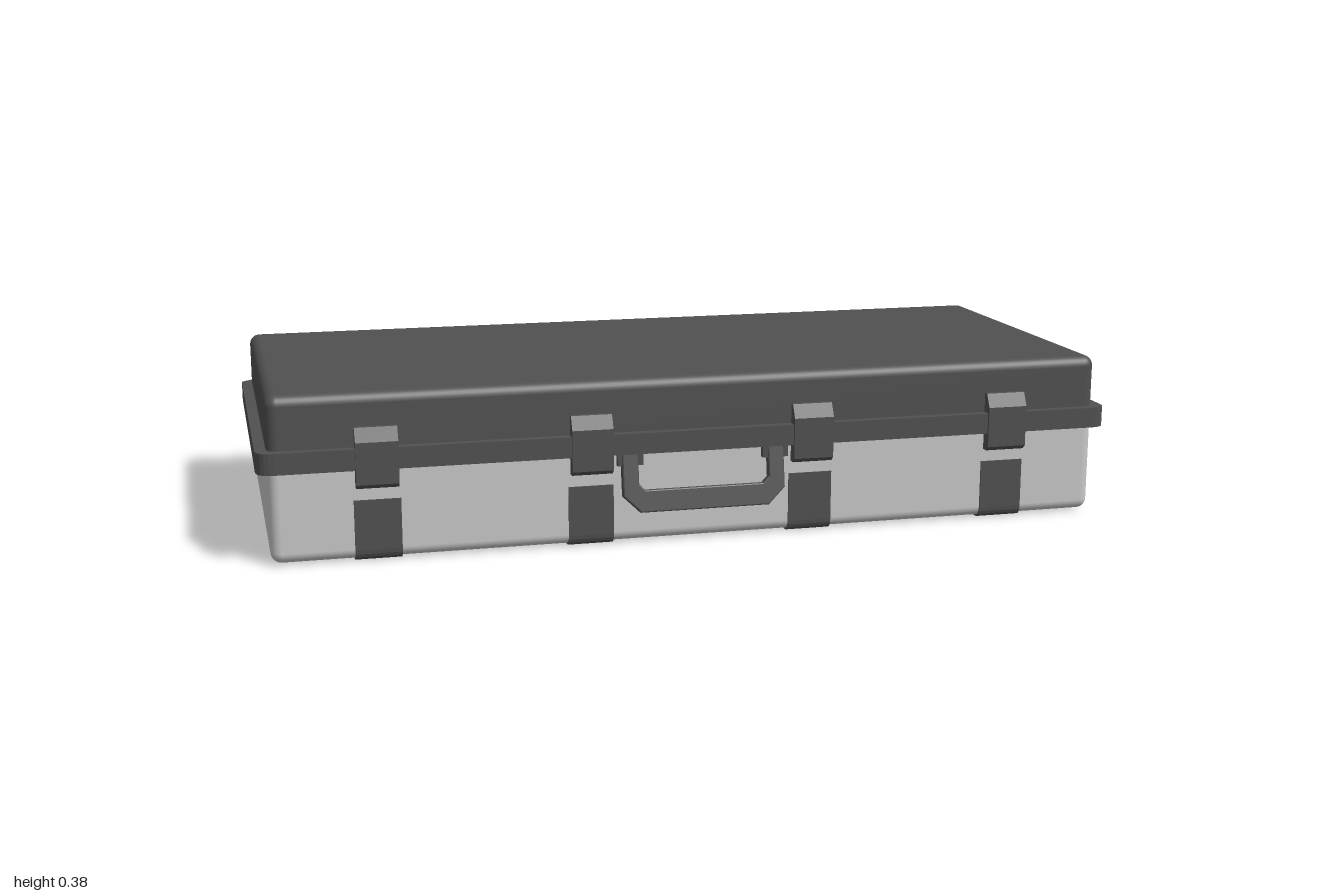
import * as THREE from 'three';
import { RoundedBoxGeometry } from 'three/addons/geometries/RoundedBoxGeometry.js';

const WIDTH = 1.95, BACK = -0.425, FRONT = 0.39, SEAM = 0.212, R = 0.024;
const STATIONS = [-0.74, -0.26, 0.26, 0.74]; // shared by straps, latches and hinges

function polygon(points) {
  return new THREE.Shape(points.map(([x, y]) => new THREE.Vector2(x, y)));
}

// Extrudes a (z, y) side profile along x, centred on x = 0
function sideExtrude(shape, width) {
  const g = new THREE.ExtrudeGeometry(shape, { depth: width, bevelEnabled: false, curveSegments: 5 });
  g.translate(0, 0, -width / 2);
  g.rotateY(-Math.PI / 2);
  return g;
}

export function createModel() {
  const light = new THREE.MeshStandardMaterial({ color: 0xc8c8c8 });
  light.name = 'light grey shell';
  const dark = new THREE.MeshStandardMaterial({ color: 0x505050 });
  dark.name = 'dark grey trim';

  const model = new THREE.Group();
  model.name = 'carryCase';
  const add = (name, geometry, material, x = 0, y = 0, z = 0, parent = model) => {
    const mesh = new THREE.Mesh(geometry, material);
    mesh.name = name;
    mesh.position.set(x, y, z);
    parent.add(mesh);
    return mesh;
  };

  // Shell halves: the rounded edges at the seam are hidden inside each other
  const depth = FRONT - BACK, midZ = (FRONT + BACK) / 2;
  const half = (name, y0, y1, material) =>
    add(name, new RoundedBoxGeometry(WIDTH, y1 - y0, depth, 4, R), material, 0, (y0 + y1) / 2, midZ);
  half('base', 0.004, SEAM + R, light);
  half('lid', SEAM - R, 0.381, dark);

  // Rim around the front and sides, flush at the back (shape y is -z)
  const rim = new THREE.Shape();
  rim.moveTo(-0.975, 0.428);
  rim.lineTo(-1, 0.405);
  rim.lineTo(-1, -0.372);
  rim.quadraticCurveTo(-1, -0.412, -0.96, -0.412);
  rim.lineTo(0.96, -0.412);
  rim.quadraticCurveTo(1, -0.412, 1, -0.372);
  rim.lineTo(1, 0.405);
  rim.lineTo(0.975, 0.428);
  rim.closePath();
  const rimGeometry = new THREE.ExtrudeGeometry(rim, { depth: 0.048, bevelEnabled: false, curveSegments: 6 });
  rimGeometry.rotateX(-Math.PI / 2);
  add('rim', rimGeometry, dark, 0, SEAM, 0);

  // Strap profile wraps the bottom and rises up front and back
  const zf = FRONT + 0.003, zb = BACK - 0.003, r = R + 0.002;
  const strap = new THREE.Shape();
  strap.moveTo(zb, 0.14);
  strap.lineTo(zb, r);
  strap.quadraticCurveTo(zb, 0, zb + r, 0);
  strap.lineTo(zf - r, 0);
  strap.quadraticCurveTo(zf, 0, zf, r);
  strap.lineTo(zf, 0.14);
  strap.closePath();
  const strapGeometry = sideExtrude(strap, 0.104);

  // Latch profile with chamfered top and bottom
  const latchGeometry = sideExtrude(polygon([
    [0.38, 0.17], [0.407, 0.17], [0.418, 0.18], [0.418, 0.275], [0.402, 0.306], [0.38, 0.306],
  ]), 0.094);

  // Hinge tab hanging below the seam at the back
  const hingeGeometry = new THREE.ExtrudeGeometry(polygon([
    [-0.034, 0.172], [0.034, 0.172], [0.04, 0.18], [0.044, 0.203], [0.054, 0.215], [-0.054, 0.215], [-0.044, 0.203], [-0.04, 0.18],
  ]), { depth: 0.008, bevelEnabled: false });

  for (const x of STATIONS) {
    add('strap', strapGeometry, dark, x);
    add('latch', latchGeometry, dark, x);
    add('hingeTab', hingeGeometry, dark, x, 0, BACK - 0.003);
  }

  // Hanging handle: an open U with chamfered corners, swung slightly outward
  const handle = new THREE.Group();
  handle.name = 'handle';
  handle.position.set(0, 0.215, 0.393);
  handle.rotation.x = -0.17;
  model.add(handle);
  const gripGeometry = new THREE.ExtrudeGeometry(polygon([
    [-0.188, 0], [-0.188, -0.1], [-0.15, -0.137], [0.15, -0.137], [0.188, -0.1], [0.188, 0],
    [0.156, 0], [0.156, -0.076], [0.14, -0.092], [-0.14, -0.092], [-0.156, -0.076], [-0.156, 0],
  ]), { depth: 0.014, bevelEnabled: true, bevelThickness: 0.004, bevelSize: 0.003, bevelSegments: 2 });
  add('grip', gripGeometry, dark, 0, 0, -0.007, handle);

  // Pivot lugs under the rim
  for (const side of [-1, 1]) {
    add('handleLug', new THREE.BoxGeometry(0.014, 0.03, 0.02), dark, side * 0.148, 0.2, 0.395);
    add('handleLug', new THREE.BoxGeometry(0.01, 0.03, 0.02), dark, side * 0.196, 0.2, 0.395);
  }

  return model;
}
